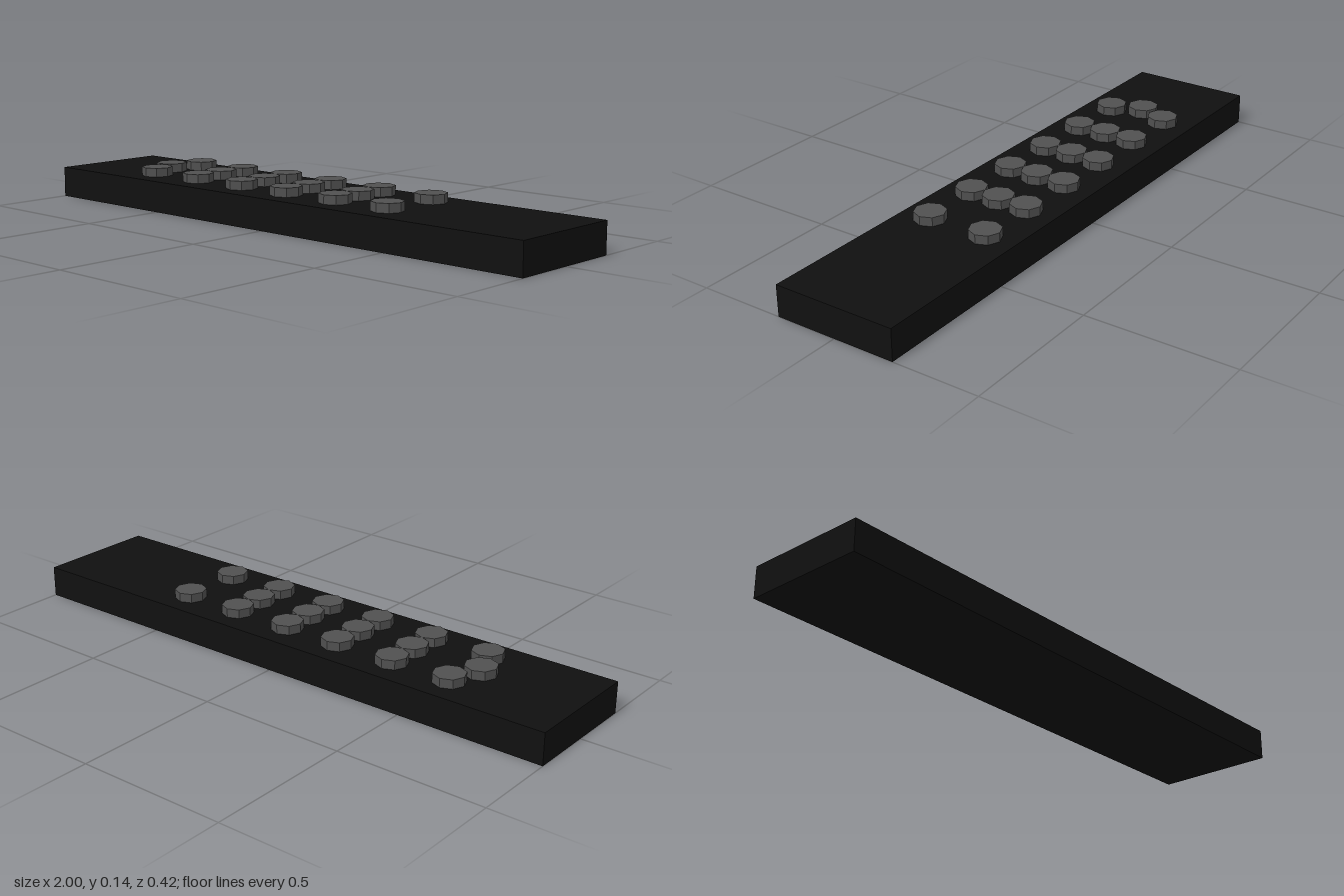
import * as THREE from 'three';

export function createModel() {
  const group = new THREE.Group();
  const caseMat = new THREE.MeshStandardMaterial({ color: 0x101010, flatShading: true });
  const buttonMat = new THREE.MeshStandardMaterial({ color: 0x505050, flatShading: true });

  // Slab-shaped case
  const bodyHeight = 0.105;
  const body = new THREE.Mesh(new THREE.BoxGeometry(2, bodyHeight, 0.42), caseMat);
  body.name = 'case';
  body.position.y = bodyHeight / 2;
  group.add(body);

  // Octagonal buttons, slightly sunk into the case
  const buttons = new THREE.Group();
  buttons.name = 'buttons';
  const top = 0.135, sink = 0.01;
  const height = top - bodyHeight + sink;
  const buttonGeo = new THREE.CylinderGeometry(0.053, 0.053, height, 8);
  const addButton = (x, z) => {
    const button = new THREE.Mesh(buttonGeo, buttonMat);
    button.name = 'button';
    button.position.set(x, top - height / 2, z);
    buttons.add(button);
  };

  // Outer rows, mirrored front and back
  for (const x of [-0.612, -0.402, -0.192, 0.011, 0.222, 0.433]) {
    for (const side of [-1, 1]) addButton(x, side * 0.105);
  }
  // Middle row, with its end button set further out
  for (const x of [-0.655, -0.402, -0.192, 0.011, 0.222]) addButton(x, 0);

  group.add(buttons);
  return group;
}
